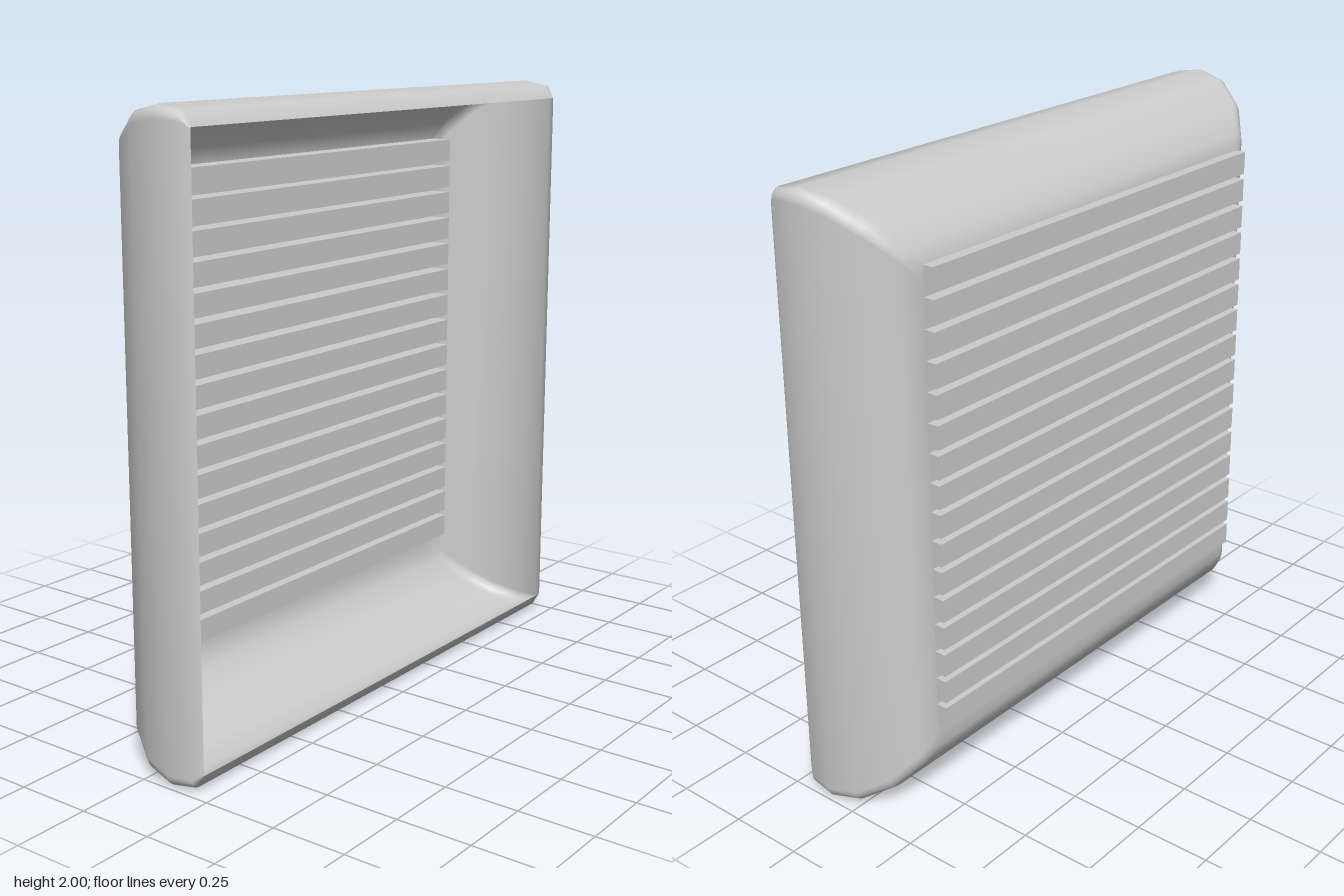
import * as THREE from 'three';

const material = new THREE.MeshStandardMaterial({ color: 0xcccccc, side: THREE.DoubleSide });

// Open tray lofted through rounded rectangles [x, half height, half depth, corner radius]
function trayGeometry(sections, cornerSteps = 4) {
  const positions = [-0.18, 0, 0];
  const indices = [];
  const n = 4 * (cornerSteps + 1);
  for (const [x, hy, hz, r] of sections) {
    for (let q = 0; q < 4; q++) {
      const sz = q === 0 || q === 3 ? 1 : -1;
      const sy = q < 2 ? 1 : -1;
      for (let k = 0; k <= cornerSteps; k++) {
        const t = (q + k / cornerSteps) * Math.PI / 2;
        positions.push(x, sy * (hy - r) + r * Math.sin(t), sz * (hz - r) + r * Math.cos(t));
      }
    }
  }
  for (let j = 0; j < n; j++) {
    const k = (j + 1) % n;
    indices.push(0, 1 + j, 1 + k); // floor
    for (let i = 0; i < sections.length - 1; i++) {
      const a = 1 + i * n + j, b = 1 + i * n + k;
      indices.push(a, a + n, b, b, a + n, b + n);
    }
  }
  const geometry = new THREE.BufferGeometry();
  geometry.setAttribute('position', new THREE.Float32BufferAttribute(positions, 3));
  geometry.setIndex(indices);
  geometry.computeVertexNormals();
  return geometry;
}

export function createModel() {
  const model = new THREE.Group();

  // Thin curved casing, open towards +x
  const casing = new THREE.Mesh(trayGeometry([
    [-0.18, 0.74, 0.76, 0.03],
    [-0.18, 0.79, 0.81, 0.03],
    [-0.16, 0.84, 0.85, 0.035],
    [-0.097, 0.92, 0.925, 0.04],
    [0, 0.98, 0.98, 0.04],
    [0.1, 1, 1, 0.04],
    [0.185, 0.985, 0.99, 0.03],
    [0.213, 0.94, 0.968, 0.005],
  ]), material);
  casing.name = 'casing';
  casing.position.y = 1;
  model.add(casing);

  // Horizontal slats passing through the casing floor
  const slats = new THREE.Group();
  slats.name = 'slats';
  const slatGeometry = new THREE.BoxGeometry(0.11, 0.076, 1.57);
  for (let i = 0; i < 16; i++) {
    const slat = new THREE.Mesh(slatGeometry, material);
    slat.name = 'slat';
    slat.position.set(-0.162, 0.325 + i * 0.0951, 0);
    slats.add(slat);
  }
  model.add(slats);

  return model;
}
